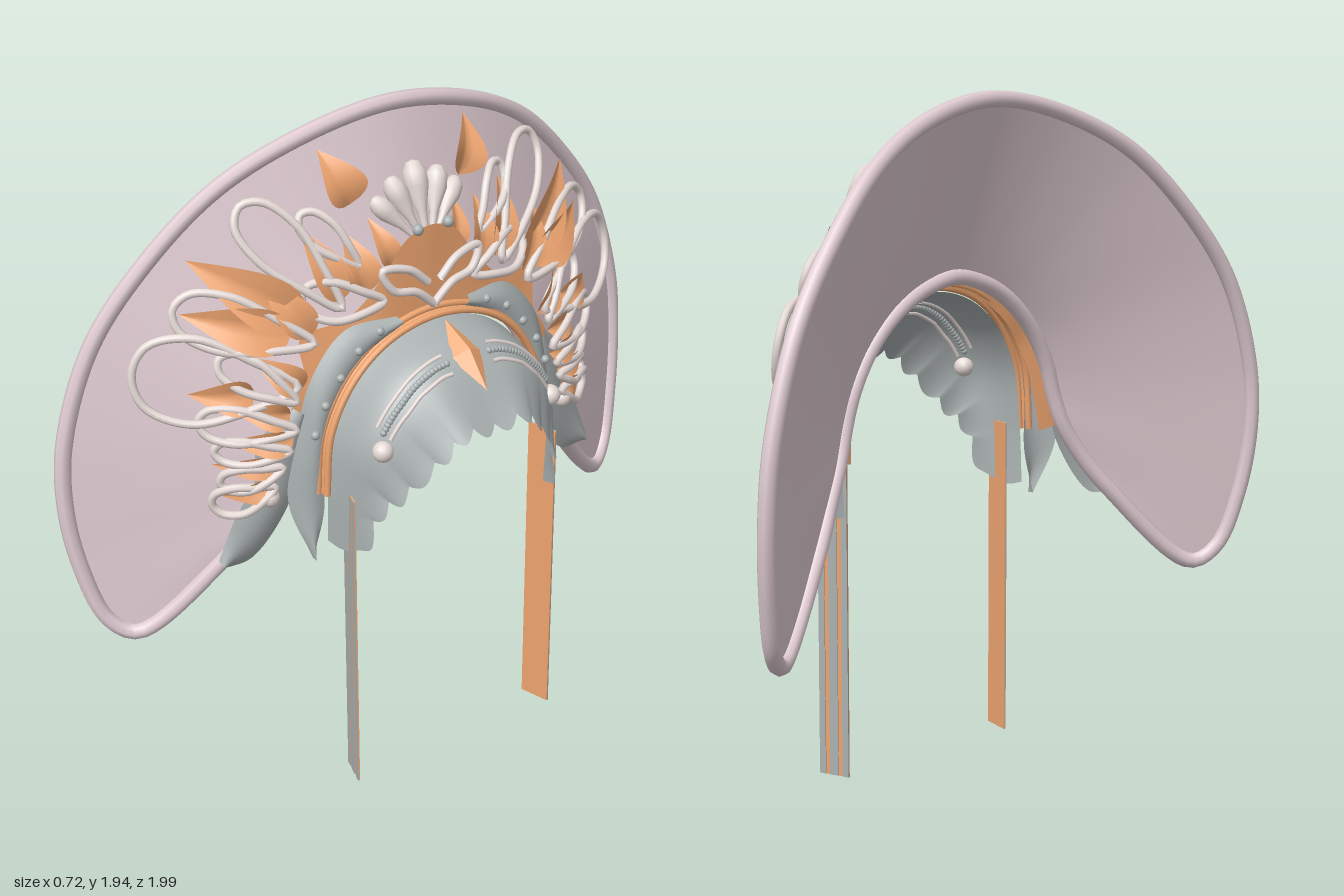
import * as THREE from 'three';

const mat = (color) => new THREE.MeshStandardMaterial({ color, side: THREE.DoubleSide });
const PINK = mat(0xe0ccd2), WHITE = mat(0xe6dad6), GOLD = mat(0xeea570), GREY = mat(0xaab0b0);

// Profile points are [z, y, x]: the headdress faces +x
const vec = ([z, y, x = 0], s = 1) => new THREE.Vector3(x, y, z * s);
const curve = (pts, s = 1, closed = false) => new THREE.CatmullRomCurve3(pts.map((p) => vec(p, s)), closed);
const mirrored = (pts) => [...pts.slice(1).reverse().map(([z, y, x]) => [-z, y, x]), ...pts];

// Surface sampled from fn(u, v) on a regular grid
function grid(nu, nv, fn) {
  const pos = [], idx = [];
  for (let i = 0; i <= nu; i++) for (let j = 0; j <= nv; j++) pos.push(...fn(i / nu, j / nv).toArray());
  for (let i = 0; i < nu; i++) for (let j = 0; j < nv; j++) {
    const a = i * (nv + 1) + j, b = a + nv + 1;
    idx.push(a, a + 1, b, b, a + 1, b + 1);
  }
  const g = new THREE.BufferGeometry();
  g.setAttribute('position', new THREE.Float32BufferAttribute(pos, 3));
  g.setIndex(idx);
  g.computeVertexNormals();
  return g;
}

// Point on a skin stretched across several curves
const across = (curves, u, v) => {
  const pts = curves.map((c) => c.getPoint(u));
  return pts.length === 2 ? pts[0].lerp(pts[1], v) : new THREE.CatmullRomCurve3(pts).getPoint(v);
};

// Depth of the ornament layer, sloping back along the fan
function depth(z, y) {
  const r = Math.hypot(z, y - 1);
  return 0.05 - (0.33 + 0.25 * Math.abs(z) / r) * (r - 0.42);
}

export function createModel() {
  const root = new THREE.Group();
  const add = (name, geo, material, parent = root) => {
    const m = new THREE.Mesh(geo, material);
    m.name = name;
    parent.add(m);
    return m;
  };
  const tube = (name, c, r, material, n = 48, closed = false) =>
    add(name, new THREE.TubeGeometry(c, n, r, 8, closed), material);
  const bead = (name, p, r, material) =>
    add(name, new THREE.SphereGeometry(r, 14, 10), material).position.copy(p);

  // Fan: conical sheet between an inner arch and the outer outline, with a rolled rim
  const outer = mirrored([[0, 1.92, -0.18], [0.26, 1.875, -0.2], [0.5, 1.765, -0.245], [0.7, 1.585, -0.29],
    [0.86, 1.37, -0.325], [0.955, 1.1, -0.34], [0.972, 0.9, -0.335], [0.95, 0.7, -0.31], [0.9, 0.54, -0.27], [0.83, 0.495, -0.225]]);
  const inner = mirrored([[0, 1.42, -0.02], [0.1, 1.4, -0.02], [0.19, 1.36, -0.02], [0.27, 1.3, -0.02], [0.34, 1.22, -0.02],
    [0.39, 1.13, -0.02], [0.42, 1.04, -0.02], [0.45, 0.95, -0.03], [0.5, 0.86, -0.05], [0.59, 0.735, -0.1]]);
  const fanCurves = [curve(inner), curve(outer)];
  add('fan', grid(120, 10, (u, v) => across(fanCurves, u, v)), PINK);
  tube('fanRim', curve([...outer, ...inner.slice().reverse()], 1, true), 0.024, PINK, 260, true);

  // Cap: arched shell narrowing toward the brow, scalloped lower edge
  const capBack = [[0, 1.37, 0.06], [0.15, 1.335, 0.06], [0.26, 1.25, 0.06], [0.335, 1.12, 0.06], [0.36, 0.95, 0.06], [0.36, 0.77, 0.05]];
  const capMid = [[0, 1.325, 0.2], [0.14, 1.3, 0.2], [0.24, 1.22, 0.2], [0.31, 1.1, 0.19], [0.335, 0.95, 0.15], [0.345, 0.76, 0.1]];
  const capFront = [[0, 1.16, 0.34], [0.1, 1.165, 0.34], [0.17, 1.1, 0.32], [0.25, 1.0, 0.27], [0.3, 0.93, 0.22], [0.325, 0.79, 0.18]];
  const capCurves = [capBack, capMid, capFront].map((p) => curve(mirrored(p)));
  const cap = (u, v) => {
    const p = across(capCurves, u, v), k = v ** 5 * Math.abs(Math.sin(u * Math.PI * 14));
    p.x += 0.02 * k;
    p.y -= 0.025 * k;
    return p;
  };
  add('cap', grid(168, 16, cap), GREY);

  // Gold arch between cap and fan
  const arch = (dz, x) => curve(mirrored([[0, 1.37 + dz, x], [0.16, 1.335 + dz, x], [0.27 + dz * 0.5, 1.25 + dz * 0.7, x],
    [0.34 + dz, 1.12, x], [0.36 + dz, 0.93, x]]));
  add('archBand', grid(60, 1, (u, v) => across([arch(0.012, 0.075), arch(0.025, 0.035)], u, v)), GOLD);
  tube('archFrontBead', arch(0.012, 0.07), 0.01, GOLD, 70);
  tube('archRearBead', arch(0.025, 0.045), 0.01, GOLD, 70);

  // Gold back plate rising to a central crest
  const plateIn = curve(mirrored([[0, 1.38, 0.04], [0.06, 1.375, 0.04], [0.13, 1.355, 0.04], [0.2, 1.32, 0.04], [0.27, 1.26, 0.03],
    [0.32, 1.19, 0.03], [0.35, 1.12, 0.02], [0.37, 1.02, 0.01], [0.38, 0.93, 0]]));
  const plateOut = curve(mirrored([[0, 1.64, 0.04], [0.08, 1.61, 0.035], [0.15, 1.52, 0.03], [0.25, 1.42, 0.01], [0.39, 1.38, -0.02],
    [0.39, 1.27, 0], [0.43, 1.2, 0], [0.47, 1.09, -0.01], [0.51, 0.95, -0.02]]));
  add('backPlate', grid(80, 4, (u, v) => across([plateIn, plateOut], u, v)), GOLD);

  // Brow jewel: stretched octahedron lying on the cap
  const jewel = add('browJewel', new THREE.OctahedronGeometry(1).toNonIndexed(), GOLD);
  jewel.scale.set(0.12, 0.03, 0.05);
  jewel.position.set(0.205, 1.315, 0);
  jewel.rotation.z = -0.6;

  // Club petals fanning above the crest
  const club = new THREE.LatheGeometry([[0.008, 0], [0.014, 0.07], [0.034, 0.14], [0.033, 0.18], [0.018, 0.205], [0, 0.21]]
    .map((p) => new THREE.Vector2(...p)), 16);
  for (const a of [-0.72, -0.36, 0, 0.36, 0.72]) {
    const holder = new THREE.Group();
    holder.name = 'crestPetal';
    holder.position.set(0.02, 1.6, Math.sin(a) * 0.05);
    holder.rotation.set(a, 0, 0.35);
    add('petal', club, WHITE, holder).scale.setScalar(1 - Math.abs(a) * 0.25);
    root.add(holder);
  }

  // Leaf and loop tables: base z, y, tip z, y, width
  const leaves = [[0.18, 1.7, 0.24, 1.85, 0.12], [0.19, 1.47, 0.22, 1.64, 0.1], [0.26, 1.46, 0.33, 1.66, 0.1],
    [0.1, 1.52, 0.14, 1.66, 0.07], [0.36, 1.42, 0.63, 1.61, 0.15], [0.4, 1.4, 0.67, 1.47, 0.13], [0.36, 1.38, 0.46, 1.55, 0.1],
    [0.52, 1.25, 0.68, 1.25, 0.1], [0.4, 1.25, 0.51, 1.34, 0.09], [0.44, 1.18, 0.58, 1.2, 0.08],
    [0.44, 1.11, 0.6, 1.11, 0.08], [0.48, 1.04, 0.64, 1.04, 0.07], [0.5, 0.98, 0.62, 0.94, 0.07]];
  const loops = [[0.27, 1.45, 0.48, 1.74, 0.14], [0.15, 1.45, 0.37, 1.49, 0.1], [0.2, 1.55, 0.33, 1.7, 0.08],
    [0.36, 1.37, 0.69, 1.49, 0.15], [0.42, 1.26, 0.81, 1.32, 0.24], [0.43, 1.22, 0.6, 1.35, 0.09], [0.44, 1.14, 0.67, 1.18, 0.1],
    [0.46, 1.08, 0.64, 1.09, 0.07], [0.48, 1.03, 0.63, 0.99, 0.07], [0.5, 0.97, 0.65, 0.92, 0.09]];
  const loopShape = [[0, 0], [0.3, 0.28], [0.65, 0.5], [0.92, 0.36], [1, 0], [0.92, -0.36], [0.65, -0.5], [0.3, -0.28]];
  const onFan = ([z0, y0, z1, y1, w], along, side, lift) => {
    const dz = z1 - z0, dy = y1 - y0, len = Math.hypot(dz, dy);
    const z = z0 + dz * along - (dy / len) * side * w, y = y0 + dy * along + (dz / len) * side * w;
    return [z, y, depth(z, y) + lift];
  };

  for (const s of [1, -1]) {
    const skin = (name, a, b, nu, material) => {
      const c = [curve(a, s), curve(b, s)];
      add(name, grid(nu, 6, (u, v) => {
        const p = across(c, u, v);
        p.x += 0.02 * Math.sin(v * Math.PI);
        return p;
      }), material);
    };

    // Creased leaves and looped ribbons
    for (const leaf of leaves) add('leaf', grid(12, 6, (u, v) => {
      const side = (v - 0.5) * Math.sin(Math.PI * u ** 0.75);
      return vec(onFan(leaf, u, side, -0.015 + 0.5 * leaf[4] * Math.abs(side) + 0.03 * Math.sin(u * Math.PI)), s);
    }), GOLD);
    for (const loop of loops) {
      const pts = loopShape.map(([a, b]) => onFan(loop, a, b, 0.005 + 0.02 * Math.sin(a * Math.PI)));
      tube('ribbonLoop', curve(pts, s, true), 0.012, WHITE, 48, true);
    }

    // Crest scrollwork
    tube('crestScroll', curve([[0, 1.41, 0.055], [0.06, 1.46, 0.055], [0.13, 1.48, 0.05], [0.16, 1.54, 0.04], [0.08, 1.53, 0.05], [0.02, 1.48, 0.055]], s), 0.012, WHITE);
    bead('crestBead', vec([0.05, 1.64, 0.05], s), 0.016, GREY);

    // Riveted side band ending in a leaf point
    skin('sideBand', [[0.1, 1.375, 0.05], [0.24, 1.3, 0.05], [0.34, 1.17, 0.05], [0.37, 1.02, 0.05], [0.37, 0.87, 0.05], [0.41, 0.73, 0.05]],
      [[0.12, 1.4, 0.045], [0.27, 1.39, 0.02], [0.38, 1.27, 0.015], [0.43, 1.1, 0.01], [0.455, 0.9, 0], [0.41, 0.73, 0.05]], 30, GREY);
    for (const [z, y] of [[0.18, 1.375], [0.25, 1.335], [0.31, 1.27], [0.36, 1.2], [0.395, 1.12]]) bead('rivet', vec([z, y, 0.055], s), 0.013, GREY);

    // Lower wing plate and its stud
    skin('wing', [[0.4, 1.17, 0.01], [0.42, 1.0, 0], [0.45, 0.87, -0.02], [0.55, 0.73, -0.05], [0.64, 0.72, -0.06]],
      [[0.43, 1.19, 0], [0.53, 1.1, -0.03], [0.54, 0.99, -0.03], [0.6, 0.87, -0.05], [0.65, 0.75, -0.06]], 24, GREY);
    bead('wingStud', vec([0.51, 0.935, -0.005], s), 0.028, WHITE);

    // Cap stud and braided trim
    bead('capStud', vec([0.285, 1.11, 0.22], s), 0.03, WHITE);
    const capLine = (v) => new THREE.CatmullRomCurve3(Array.from({ length: 10 }, (_, i) => cap(0.5 + s * (0.05 + 0.022 * i), v)));
    for (const v of [0.46, 0.62]) tube('capTrim', capLine(v), 0.006, WHITE, 30);
    for (const p of capLine(0.54).getSpacedPoints(22)) bead('braidBead', p, 0.01, GREY);

    // Hanging ribbon: gold inside, grey stripes outside
    const strap = new THREE.Group();
    strap.name = 'strap';
    strap.position.set(0.127, 0.475, 0.335 * s);
    strap.rotation.y = -0.28 * s;
    add('strapBody', new THREE.BoxGeometry(0.096, 0.95, 0.004), GOLD, strap);
    for (const [x, w] of [[-0.038, 0.02], [0, 0.028], [0.038, 0.02]])
      add('strapStripe', new THREE.BoxGeometry(w, 0.95, 0.003), GREY, strap).position.set(x, 0, 0.003 * s);
    root.add(strap);
  }
  return root;
}
